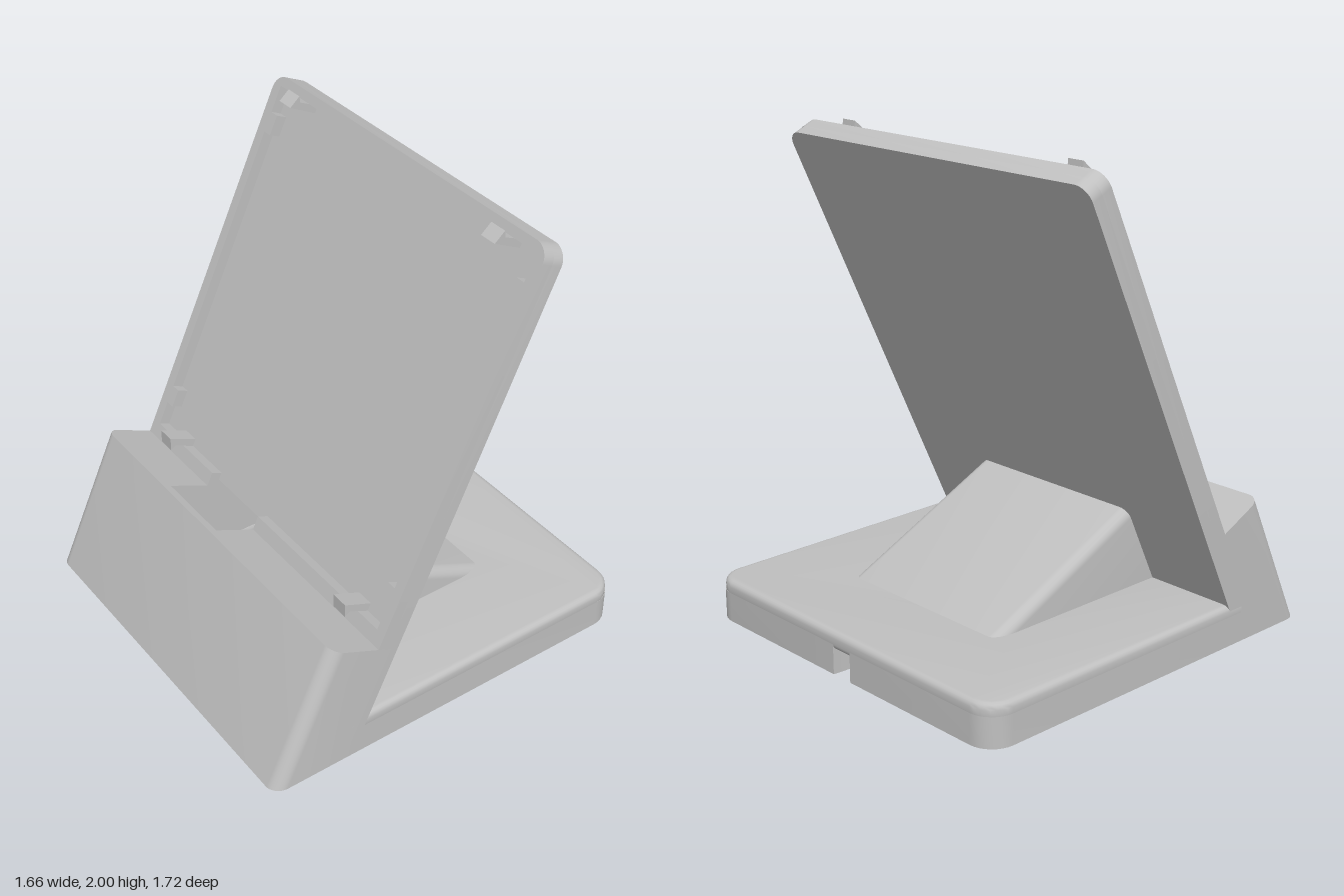
import * as THREE from 'three';
import { toCreasedNormals } from 'three/addons/utils/BufferGeometryUtils.js';

const W = 0.83;                       // half width
const TILT = THREE.MathUtils.degToRad(25);
const SIN = Math.sin(TILT), COS = Math.cos(TILT);
const BASE_TOP = 0.175;
const ORIGIN_Y = 0.17, ORIGIN_Z = 0.42; // foot of the panel's back face
const SLOT_L = -0.365, SLOT_R = -0.02;  // cable opening in x

const grey = new THREE.MeshStandardMaterial({ color: 0xc0c0c0 });
grey.name = 'light grey plastic';

const poly = (pts) => new THREE.Shape(pts.map(([x, y]) => new THREE.Vector2(x, y)));

function extrude(shape, depth, options = {}) {
  return new THREE.ExtrudeGeometry(shape, { depth, bevelEnabled: false, curveSegments: 8, ...options });
}

// Apply a rule to every vertex
function moveVertices(geometry, rule) {
  const p = geometry.attributes.position;
  const v = new THREE.Vector3();
  for (let i = 0; i < p.count; i++) {
    v.fromBufferAttribute(p, i);
    rule(v);
    p.setXYZ(i, v.x, v.y, v.z);
  }
  return geometry;
}

function add(parent, name, geometry) {
  const mesh = new THREE.Mesh(toCreasedNormals(geometry, 0.6), grey);
  mesh.name = name;
  parent.add(mesh);
  return mesh;
}

// Rectangle with two rounded corners at its far end (y1) and an optional notch at y0
function roundedTop(hw, y0, y1, r, notchY) {
  const d = Math.sign(y1 - y0);
  const s = new THREE.Shape();
  s.moveTo(-hw, y0);
  if (notchY !== undefined) {
    s.lineTo(SLOT_L, y0);
    s.lineTo(SLOT_L, notchY);
    s.lineTo(SLOT_R, notchY);
    s.lineTo(SLOT_R, y0);
  }
  s.lineTo(hw, y0);
  s.lineTo(hw, y1 - d * r);
  s.bezierCurveTo(hw, y1 - d * r * 0.45, hw - r * 0.55, y1, hw - r, y1);
  s.lineTo(-hw + r, y1);
  s.bezierCurveTo(-hw + r * 0.45, y1, -hw, y1 - d * r * 0.45, -hw, y1 - d * r);
  s.closePath();
  return s;
}

// One half of the base's lower layer, beside the slot and the curved cable channel
function lowerHalf(side, slotX, channelX) {
  const r = 0.11, s = new THREE.Shape();
  s.moveTo(slotX, -0.5);
  s.lineTo(side * W, -0.5);
  s.lineTo(side * W, 0.86 - r);
  s.bezierCurveTo(side * W, 0.86 - r * 0.45, side * (W - r * 0.45), 0.86, side * (W - r), 0.86);
  s.lineTo(channelX, 0.86);
  s.bezierCurveTo(channelX, 0.55, channelX - 0.19, 0.55, channelX - 0.19, 0.25);
  s.lineTo(slotX, 0.25);
  s.closePath();
  return s;
}

function buildBase(model) {
  const base = new THREE.Group();
  base.name = 'base';
  model.add(base);
  for (const [side, slotX] of [[1, SLOT_R], [-1, SLOT_L]]) {
    const geo = extrude(lowerHalf(side, slotX, side * 0.05), 0.125).rotateX(-Math.PI / 2);
    add(base, side > 0 ? 'baseLowerLeft' : 'baseLowerRight', geo);
  }
  // Upper layer with a softened top edge; its lower bevel sits inside the lower layer
  const b = 0.025;
  const top = extrude(roundedTop(W, -0.5, 0.86, 0.11, 0.25), BASE_TOP - 0.1 - 2 * b, {
    bevelEnabled: true, bevelThickness: b, bevelSize: b, bevelOffset: -b, bevelSegments: 4,
  });
  add(base, 'baseTop', top.rotateX(-Math.PI / 2).translate(0, 0.1 + b, 0));
}

function buildTilted(model) {
  // Local frame: y runs up the panel, z points out of its front
  const tilted = new THREE.Group();
  tilted.name = 'tiltedParts';
  tilted.position.set(0, ORIGIN_Y, ORIGIN_Z);
  tilted.rotation.x = -TILT;
  model.add(tilted);

  // Front block, its foot cut level with the ground
  const blockTop = 0.305;
  const block = extrude(roundedTop(W, 0, -0.328, 0.055, -0.291), 1).rotateX(-Math.PI / 2);
  add(tilted, 'frontBlock', moveVertices(block, (v) => {
    v.y = v.y > 0.5 ? blockTop : -(ORIGIN_Y + v.z * SIN) / COS;
  }));

  // Cable housing behind the panel, sloping down to the base
  const housing = extrude(roundedTop(0.43, 0, 0.375, 0.045, 0.335), 1).translate(0, 0, -1);
  add(tilted, 'cableHousing', moveVertices(housing, (v) => {
    if (v.z < -0.5) v.z = -v.y * COS / SIN;
  }));

  // Panel: back sheet and raised rim round the recess
  const panelTop = 1.964, low = 0.367, high = 1.924, rx = 0.785;
  add(tilted, 'panelBack', extrude(roundedTop(W, blockTop, panelTop, 0.065, 0.335), 0.05));
  const rim = new THREE.Shape();
  rim.moveTo(SLOT_R, blockTop);
  rim.lineTo(W, blockTop);
  rim.lineTo(W, panelTop - 0.065);
  rim.bezierCurveTo(W, panelTop - 0.03, W - 0.03, panelTop, W - 0.065, panelTop);
  rim.lineTo(-W + 0.065, panelTop);
  rim.bezierCurveTo(-W + 0.03, panelTop, -W, panelTop - 0.03, -W, panelTop - 0.065);
  rim.lineTo(-W, blockTop);
  for (const [x, y] of [[SLOT_L, blockTop], [SLOT_L, low], [-rx, low], [-rx, high],
    [rx, high], [rx, low], [SLOT_R, low]]) rim.lineTo(x, y);
  rim.closePath();
  add(tilted, 'panelRim', extrude(rim, 0.05).translate(0, 0, 0.05));

  // Corner tabs and hooked clips
  const clipProfile = [[0.045, 1.89], [0.182, 1.893], [0.158, 1.946], [0.143, 1.922], [0.045, 1.924]];
  for (const side of [-1, 1]) {
    for (const [y0, y1] of [[0.472, 0.55], [1.725, 1.81]]) {
      const tab = new THREE.BoxGeometry(0.042, y1 - y0, 0.052);
      add(tilted, 'cornerTab', tab.translate(side * 0.766, (y0 + y1) / 2, 0.074));
    }
    for (const upper of [true, false]) {
      const pts = clipProfile.map(([n, u]) => [n, upper ? u : low + high - u]);
      const clip = extrude(poly(pts), 0.075).rotateY(-Math.PI / 2);
      add(tilted, upper ? 'upperClip' : 'lowerClip', clip.translate(side * 0.627 + 0.0375, 0, 0));
    }
  }
}

export function createModel() {
  const model = new THREE.Group();
  model.name = 'deviceStand';
  buildBase(model);
  buildTilted(model);
  return model;
}
